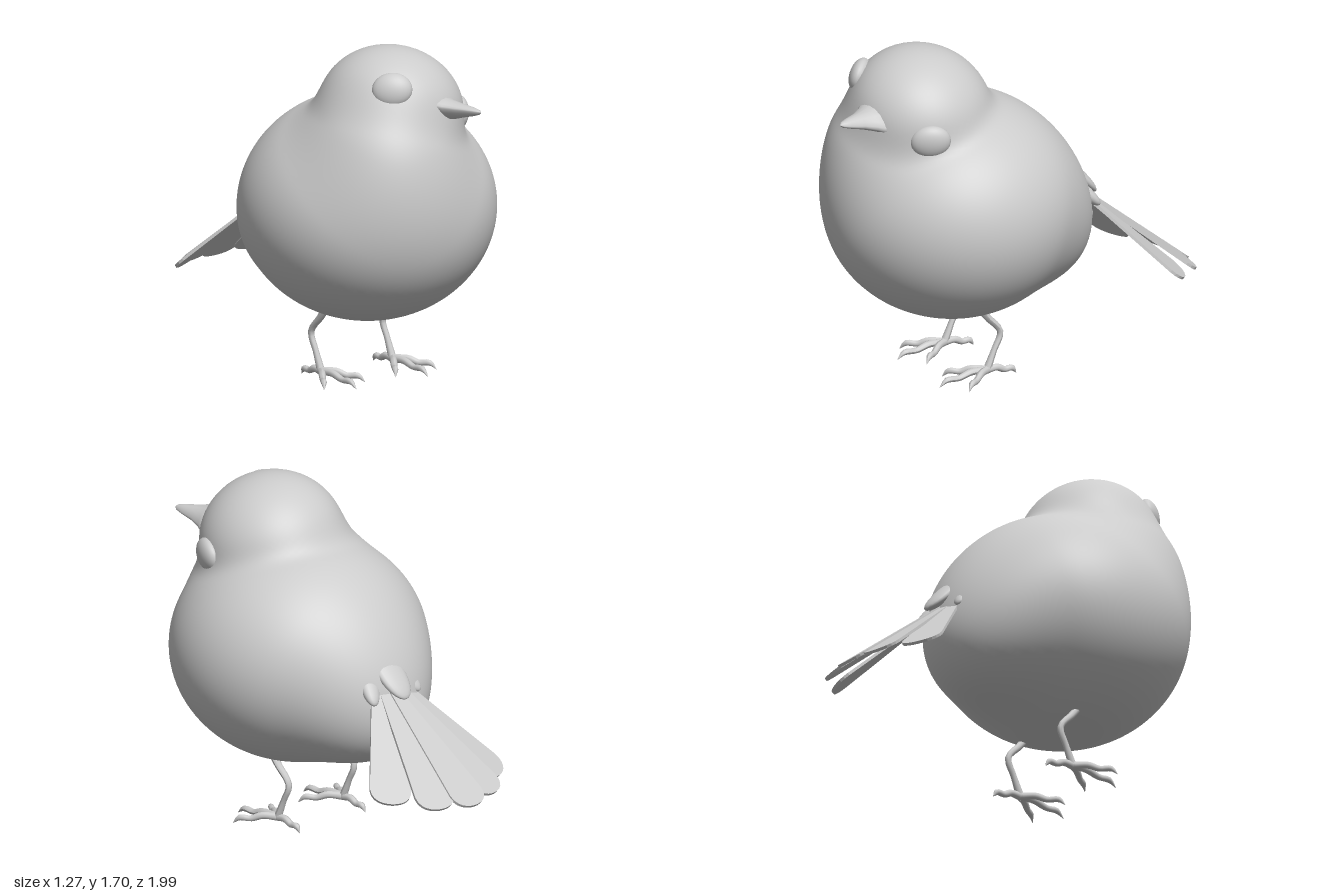
import * as THREE from 'three';
import { mergeVertices } from 'three/addons/utils/BufferGeometryUtils.js';

const V = (x, y, z) => new THREE.Vector3(x, y, z);
const material = new THREE.MeshStandardMaterial({ color: 0xcccccc, side: THREE.DoubleSide });
const headTurn = new THREE.Quaternion().setFromEuler(new THREE.Euler(-0.08, 0.19, -0.38, 'YXZ'));
const headCentre = V(0, 1.39, 0.46);

// Approximate distance to an ellipsoid
function ellipsoid(centre, radii, turn = new THREE.Quaternion()) {
  const inverse = turn.clone().invert();
  const size = Math.min(radii.x, radii.y, radii.z);
  return (p) => (p.clone().sub(centre).applyQuaternion(inverse).divide(radii).length() - 1) * size;
}

// Union of two distances with a soft seam
function blend(a, b, k) {
  const h = Math.max(k - Math.abs(a - b), 0) / k;
  return Math.min(a, b) - h * h * k * 0.25;
}

const belly = ellipsoid(V(0, 0.88, 0.28), V(0.635, 0.57, 0.64));
const rump = ellipsoid(V(0, 0.82, -0.02), V(0.42, 0.48, 0.38),
  new THREE.Quaternion().setFromAxisAngle(V(1, 0, 0), Math.PI / 4));
const chest = ellipsoid(V(-0.08, 1.08, 0.47), V(0.42, 0.5, 0.44));
const head = ellipsoid(headCentre, V(0.36, 0.32, 0.36), headTurn);

function field(p) {
  const body = blend(blend(belly(p), rump(p), 0.1), chest(p), 0.08);
  return blend(body, head(p), 0.06);
}

// Point where a ray from inside leaves the body
function surfacePoint(origin, direction) {
  let near = 0, far = 1.6;
  for (let i = 0; i < 24; i++) {
    const mid = (near + far) / 2;
    if (field(origin.clone().addScaledVector(direction, mid)) < 0) near = mid;
    else far = mid;
  }
  return origin.clone().addScaledVector(direction, near);
}

function addMesh(parent, name, geometry) {
  const mesh = new THREE.Mesh(geometry, material);
  mesh.name = name;
  parent.add(mesh);
  return mesh;
}

// Body and head in one skin: a sphere pushed out to the blended shape
function bodyGeometry() {
  let geometry = new THREE.IcosahedronGeometry(1, 22);
  geometry.deleteAttribute('normal');
  geometry.deleteAttribute('uv');
  geometry = mergeVertices(geometry, 1e-4);
  const position = geometry.attributes.position;
  const origin = V(0, 1, 0.3);
  for (let i = 0; i < position.count; i++) {
    const d = V().fromBufferAttribute(position, i).normalize();
    const p = surfacePoint(origin, d);
    position.setXYZ(i, p.x, p.y, p.z);
  }
  geometry.computeVertexNormals();
  return geometry;
}

// Beak: flattened diamond sections running to a rounded tip
function beakGeometry() {
  // forward, half width, top, bottom
  const sections = [[-0.08, 0.13, 0.085, 0.06], [0, 0.125, 0.07, 0.05], [0.05, 0.085, 0.05, 0.045],
    [0.11, 0.055, 0.037, 0.034], [0.18, 0.034, 0.024, 0.022], [0.22, 0.018, 0.013, 0.013], [0.235, 0.001, 0.001, 0.001]];
  const sides = 16, points = [], index = [];
  sections.forEach(([z, w, top, bottom], r) => {
    for (let i = 0; i < sides; i++) {
      const t = (i / sides) * Math.PI * 2, s = Math.sin(t);
      points.push(w * Math.cos(t), s * Math.sqrt(Math.abs(s)) * (s > 0 ? top : bottom), z);
      if (r === sections.length - 1) continue;
      const a = r * sides + i, b = r * sides + (i + 1) % sides;
      index.push(a, b, b + sides, a, b + sides, a + sides);
    }
  });
  const geometry = new THREE.BufferGeometry();
  geometry.setAttribute('position', new THREE.Float32BufferAttribute(points, 3));
  geometry.setIndex(index);
  geometry.computeVertexNormals();
  return geometry;
}

// Tube whose radius follows a list of values along its length
function taperedTube(points, radii) {
  const curve = new THREE.CatmullRomCurve3(points, false, 'centripetal');
  const steps = 16, sides = 8;
  const geometry = new THREE.TubeGeometry(curve, steps, 1, sides);
  const position = geometry.attributes.position;
  for (let i = 0; i < position.count; i++) {
    const u = Math.floor(i / (sides + 1)) / steps;
    const f = u * (radii.length - 1), k = Math.min(Math.floor(f), radii.length - 2);
    const r = THREE.MathUtils.lerp(radii[k], radii[k + 1], f - k);
    const c = curve.getPointAt(u);
    const p = V().fromBufferAttribute(position, i).sub(c).multiplyScalar(r).add(c);
    position.setXYZ(i, p.x, p.y, p.z);
  }
  geometry.computeVertexNormals();
  return geometry;
}

// Leg with three front toes and one back toe, each ending in a claw
function makeLeg(name, x, shift) {
  const leg = new THREE.Group();
  leg.name = name;
  leg.position.set(x, 0, shift);
  addMesh(leg, 'shank', taperedTube(
    [V(0, 0.4, 0.25), V(0, 0.33, 0.2), V(0, 0.24, 0.125), V(0, 0.15, 0.16), V(0, 0.055, 0.2)],
    [0.022, 0.018, 0.016, 0.015, 0.02]));
  const toes = [[0, 0.27], [-0.13, 0.18], [0.13, 0.18], [0.01, -0.16]];
  for (const [dx, dz] of toes) {
    const at = (t, y) => V(dx * t, y, 0.2 + dz * t);
    addMesh(leg, 'toe', taperedTube(
      [at(0, 0.055), at(0.35, 0.058), at(0.6, 0.04), at(0.85, 0.042), at(1, 0.012)],
      [0.021, 0.018, 0.018, 0.015, 0.016, 0.001]));
  }
  return leg;
}

// Flat feather, narrow at the root with a rounded end
function featherGeometry(length) {
  const shape = new THREE.Shape();
  const w = 0.105, shoulder = length - 0.085;
  shape.moveTo(-0.028, 0);
  shape.lineTo(0.028, 0);
  shape.lineTo(w, shoulder);
  shape.bezierCurveTo(w, length - 0.02, 0.05, length, 0, length);
  shape.bezierCurveTo(-0.05, length, -w, length - 0.02, -w, shoulder);
  shape.closePath();
  return new THREE.ExtrudeGeometry(shape, { depth: 0.014, bevelEnabled: false, curveSegments: 6 });
}

function makeTail() {
  const tail = new THREE.Group();
  tail.name = 'tail';
  const tips = [V(-0.28, 0.4, -0.82), V(-0.1, 0.38, -0.95), V(0.08, 0.37, -0.99),
    V(0.27, 0.385, -0.94), V(0.44, 0.415, -0.78)];
  tips.forEach((tip, i) => {
    const root = V(0.06 + 0.048 * (i - 2), 0.84 - 0.012 * Math.abs(i - 2), -0.4);
    const along = tip.clone().sub(root);
    const feather = addMesh(tail, 'tailFeather', featherGeometry(along.length()));
    along.normalize();
    const side = V().crossVectors(along, V(0.14 * (i - 2), 0.78, -0.62)).normalize();
    feather.quaternion.setFromRotationMatrix(
      new THREE.Matrix4().makeBasis(side, along, V().crossVectors(side, along)));
    feather.position.copy(root);
  });
  // Short feathers over and under the tail root: centre, sideways splay, size
  const coverts = [[V(0.05, 0.915, -0.39), 0, V(0.085, 0.16, 0.035)],
    [V(-0.07, 0.87, -0.36), -0.35, V(0.05, 0.12, 0.035)],
    [V(0.17, 0.87, -0.36), 0.35, V(0.05, 0.12, 0.035)],
    [V(0.06, 0.75, -0.4), 0, V(0.1, 0.09, 0.04)]];
  for (const [centre, splay, size] of coverts) {
    const covert = addMesh(tail, 'covertFeather', new THREE.SphereGeometry(1, 20, 14));
    covert.scale.copy(size);
    covert.position.copy(centre);
    covert.quaternion.setFromUnitVectors(V(0, 1, 0), V(splay, -0.7, -0.7).normalize());
    const along = V(splay, -0.7, -0.7).normalize();
    const side = V().crossVectors(along, V(0, 0.7, -0.7)).normalize();
    covert.quaternion.setFromRotationMatrix(
      new THREE.Matrix4().makeBasis(side, along, V().crossVectors(side, along)));
  }
  return tail;
}

export function createModel() {
  const bird = new THREE.Group();
  bird.name = 'bird';
  addMesh(bird, 'body', bodyGeometry());

  // Eyes: flattened domes set on the tilted head
  const eyes = [['leftEye', V(0.29, -0.035, 0.12), V(0.88, -0.12, 0.42)],
    ['rightEye', V(-0.17, 0.15, 0.21), V(-0.66, 0.25, 0.7)]];
  for (const [name, direction, facing] of eyes) {
    const eye = addMesh(bird, name, new THREE.SphereGeometry(1, 24, 16));
    eye.scale.set(0.1, 0.085, 0.05);
    eye.position.copy(surfacePoint(headCentre, direction.normalize()));
    eye.position.addScaledVector(facing.normalize(), -0.015);
    eye.quaternion.setFromUnitVectors(V(0, 0, 1), facing);
  }

  const beak = addMesh(bird, 'beak', beakGeometry());
  beak.position.set(0.085, 1.435, 0.765);
  beak.quaternion.copy(headTurn);

  bird.add(makeLeg('leftLeg', 0.22, 0.01), makeLeg('rightLeg', -0.22, -0.01), makeTail());
  return bird;
}
